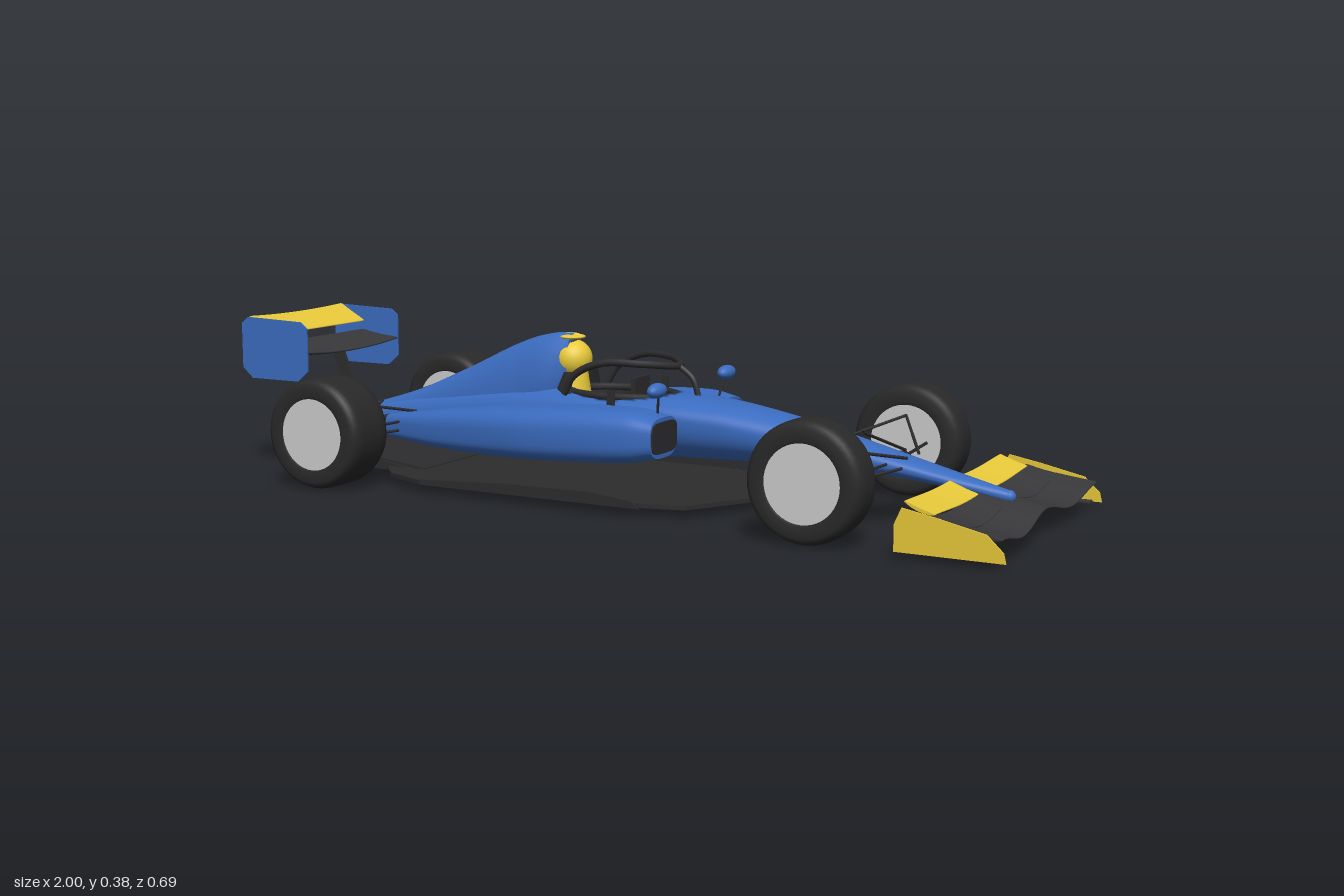
import * as THREE from 'three';

const mat = (color) => new THREE.MeshStandardMaterial({ color, side: THREE.DoubleSide });
const blue = mat(0x3b6cc0), yellow = mat(0xe8c93a), dark = mat(0x2c2c2e), wingDark = mat(0x38383b);
const rubber = mat(0x292929), grey = mat(0xcccccc), red = mat(0xc03040);
const V = (x, y, z) => new THREE.Vector3(x, y, z);

export function createModel() {
  const car = new THREE.Group();
  car.name = 'racingCar';
  const add = (name, geo, m, x = 0, y = 0, z = 0) => {
    const mesh = new THREE.Mesh(geo, m);
    mesh.name = name;
    mesh.position.set(x, y, z);
    car.add(mesh);
    return mesh;
  };
  const box = (name, w, h, d, m, x, y, z) => add(name, new THREE.BoxGeometry(w, h, d), m, x, y, z);
  const both = (fn) => [1, -1].forEach(fn);

  // Surface over rows (i) and a closed ring (j), optionally capped at both ends
  const skin = (fn, rows, ring, caps) => {
    const pos = [], idx = [];
    for (let i = 0; i <= rows; i++)
      for (let j = 0; j < ring; j++) pos.push(...fn(i / rows, (j / ring) * Math.PI * 2));
    for (let i = 0; i < rows; i++)
      for (let j = 0; j < ring; j++) {
        const k = (j + 1) % ring, a = i * ring, b = a + ring;
        idx.push(a + j, b + j, a + k, b + j, b + k, a + k);
      }
    if (caps) [0, rows].forEach((i) => {
      const start = pos.length / 3, c = [0, 0, 0];
      for (let j = 0; j < ring; j++) {
        const p = pos.slice((i * ring + j) * 3, (i * ring + j) * 3 + 3);
        p.forEach((v, n) => { c[n] += v / ring; });
        pos.push(...p);
      }
      pos.push(...c);
      for (let j = 0; j < ring; j++) {
        const p = start + j, q = start + (j + 1) % ring;
        idx.push(start + ring, ...(i ? [q, p] : [p, q]));
      }
    });
    const g = new THREE.BufferGeometry();
    g.setAttribute('position', new THREE.Float32BufferAttribute(pos, 3));
    g.setIndex(idx);
    g.computeVertexNormals();
    return g;
  };

  // Body loft: sections are [x, zCentre, halfWidth, yBottom, yWidest, yTop], tail first
  const loft = (secs, { power = 1, side = 1, rows = 48, ring = 40, rule } = {}) => {
    const a = new THREE.CatmullRomCurve3(secs.map((s) => V(s[0], s[1], s[2])), false, 'centripetal');
    const b = new THREE.CatmullRomCurve3(secs.map((s) => V(s[3], s[4], s[5])), false, 'centripetal');
    const pw = (v) => Math.sign(v) * Math.abs(v) ** power;
    return skin((u, t) => {
      const p = a.getPoint(u), q = b.getPoint(u), s = pw(Math.sin(t));
      const z = side * p.y + p.z * pw(Math.cos(t));
      const y = q.y + s * (s > 0 ? q.z - q.y : q.y - q.x);
      return [p.x, rule ? rule(p.x, y, z) : y, z];
    }, rows, ring, true);
  };

  // Wing element: at(z) gives [xLead, yLead, xTrail, yTrail]
  const wing = (z0, z1, at, thick, camber) => skin((u, t) => {
    const z = z0 + (z1 - z0) * u, [xl, yl, xt, yt] = at(z), c = (1 - Math.cos(t)) / 2;
    return [xl + (xt - xl) * c, yl + (yt - yl) * c - camber * 4 * c * (1 - c) + thick * Math.sin(t), z];
  }, 24, 20, true);

  // Flat plate in the x-y plane, from corner points
  const plate = (pts, d) => new THREE.ExtrudeGeometry(
    new THREE.Shape(pts.map((p) => new THREE.Vector2(...p))), { depth: d, bevelEnabled: false }).translate(0, 0, -d / 2);
  const tube = (name, pts, r, m = dark) => add(name, new THREE.TubeGeometry(
    pts.length > 2 ? new THREE.CatmullRomCurve3(pts) : new THREE.LineCurve3(...pts), pts.length > 2 ? 48 : 1, r, 8), m);

  // Main hull from tail to nose tip, with the cockpit sunk into it
  const inCockpit = (x, z) => ((x + 0.03) / 0.135) ** 2 + (z / 0.08) ** 2 < 1;
  add('hull', loft([
    [-0.82, 0, 0.015, 0.1, 0.115, 0.13], [-0.6, 0, 0.045, 0.085, 0.13, 0.185],
    [-0.3, 0, 0.08, 0.085, 0.17, 0.235], [-0.1, 0, 0.105, 0.09, 0.19, 0.242],
    [0.1, 0, 0.106, 0.095, 0.195, 0.242], [0.25, 0, 0.092, 0.1, 0.185, 0.232],
    [0.45, 0, 0.071, 0.104, 0.155, 0.198], [0.65, 0, 0.05, 0.098, 0.125, 0.148],
    [0.8, 0, 0.031, 0.08, 0.096, 0.112], [0.895, 0, 0.014, 0.064, 0.077, 0.09],
  ], { power: 0.9, rows: 130, ring: 64, rule: (x, y, z) => (y > 0.17 && inCockpit(x, z) ? 0.14 : y) }), blue);
  add('noseTip', new THREE.SphereGeometry(0.014, 20, 12), blue, 0.895, 0.077, 0);

  // Cockpit lining, rim, headrest, steering wheel and driver's helmet
  add('cockpitLining', new THREE.CylinderGeometry(0.074, 0.074, 0.085, 40, 1, true).scale(1.72, 1, 1), dark, -0.03, 0.19, 0);
  add('cockpitFloor', new THREE.CylinderGeometry(0.075, 0.075, 0.006, 40).scale(1.72, 1, 1), dark, -0.03, 0.148, 0);
  add('cockpitRim', new THREE.TorusGeometry(0.078, 0.009, 8, 48).rotateX(Math.PI / 2).scale(1.72, 1, 1), dark, -0.03, 0.232, 0);
  add('headrest', new THREE.CylinderGeometry(0.055, 0.072, 0.05, 32, 1, false, Math.PI, Math.PI), dark, -0.13, 0.25, 0);
  box('steeringWheel', 0.012, 0.045, 0.07, dark, 0.015, 0.25, 0);
  add('helmet', new THREE.SphereGeometry(0.046, 32, 20), yellow, -0.165, 0.302, 0);
  add('driverNeck', new THREE.CylinderGeometry(0.035, 0.05, 0.1, 24), yellow, -0.165, 0.225, 0);

  // Engine cover with air intake and camera pod
  add('engineCover', loft([
    [-0.82, 0, 0.012, 0.1, 0.115, 0.132], [-0.6, 0, 0.03, 0.1, 0.15, 0.2],
    [-0.45, 0, 0.045, 0.1, 0.18, 0.265], [-0.3, 0, 0.057, 0.12, 0.21, 0.335],
    [-0.22, 0, 0.058, 0.15, 0.25, 0.359], [-0.16, 0, 0.042, 0.2, 0.29, 0.364],
  ]), blue);
  add('airIntake', new THREE.SphereGeometry(1, 24, 16).scale(0.012, 0.066, 0.036), dark, -0.158, 0.288, 0);
  add('cameraPod', new THREE.SphereGeometry(1, 20, 12).scale(0.03, 0.006, 0.032), yellow, -0.165, 0.354, 0);
  add('cameraNose', new THREE.SphereGeometry(0.009, 16, 12).scale(3.4, 1, 1), yellow, -0.168, 0.355, 0);

  // Halo: hoop and central pillar
  tube('haloHoop', [V(-0.13, 0.235, 0.1), V(-0.1, 0.28, 0.104), V(-0.03, 0.311, 0.1), V(0.06, 0.311, 0.072), V(0.115, 0.303, 0),
    V(0.06, 0.311, -0.072), V(-0.03, 0.311, -0.1), V(-0.1, 0.28, -0.104), V(-0.13, 0.235, -0.1)], 0.0085);
  tube('haloPillar', [V(0.115, 0.303, 0), V(0.15, 0.275, 0), V(0.165, 0.232, 0)], 0.007);

  // Floor, diffuser and rear crash structure
  const half = [[0.33, 0.06], [0.24, 0.21], [0.14, 0.235], [-0.43, 0.25], [-0.55, 0.2], [-0.62, 0.12], [-0.79, 0.09]];
  const outline = [...half, ...half.map(([x, z]) => [x, -z]).reverse()];
  add('floor', plate(outline, 0.01).rotateX(Math.PI / 2), dark, 0, 0.024, 0);
  [-0.13, -0.065, 0, 0.065, 0.13].forEach((z) =>
    add('diffuserStrake', plate([[-0.5, 0.02], [-0.79, 0.018], [-0.79, 0.066], [-0.74, 0.062]], 0.005), dark, 0, 0, z));
  add('diffuserRoof', plate([[-0.5, 0.025], [-0.79, 0.064], [-0.79, 0.068], [-0.5, 0.031]], 0.26), dark);
  add('crashStructure', plate([[-0.72, 0.085], [-0.95, 0.09], [-0.95, 0.112], [-0.72, 0.14]], 0.03), dark);
  box('rearLight', 0.008, 0.016, 0.02, red, -0.952, 0.101, 0);

  // Rear wing
  add('rearFlap', wing(-0.182, 0.182, (z) => [-0.905, 0.335, -0.98, 0.372 + 0.15 * z * z], 0.005, 0.004), yellow);
  add('rearMainPlane', wing(-0.182, 0.182, (z) => [-0.8, 0.286 + 0.3 * z * z, -0.915, 0.312], 0.007, 0.007), wingDark);
  add('rearWingPylon', plate([[-0.77, 0.12], [-0.8, 0.12], [-0.87, 0.295], [-0.84, 0.295]], 0.012), dark);

  // Front wing main plane and second element, dipping between nose and tips
  const dip = (z) => 0.012 * Math.cos(Math.abs(z) / 0.335 * Math.PI * 2);
  add('frontMainPlane', wing(-0.335, 0.335, (z) => [0.975 + 0.015 * Math.abs(z) / 0.335, 0.047 + dip(z), 0.885, 0.06 + dip(z)], 0.004, 0.003), wingDark);
  add('frontSecondElement', wing(-0.335, 0.335, (z) => [0.9, 0.06 + dip(z) * 0.8, 0.825, 0.078 + dip(z) * 0.6], 0.004, 0.004), wingDark);

  both((s) => {
    // Wing end plates and front flaps
    add('rearEndPlate', plate([[-0.97, 0.225], [-0.83, 0.225], [-0.8, 0.25], [-0.8, 0.355], [-0.82, 0.37],
      [-0.98, 0.375], [-1, 0.36], [-1, 0.25]], 0.004), blue, 0, 0, s * 0.185);
    add('frontEndPlate', plate([[0.77, 0.014], [1, 0.014], [0.995, 0.035], [0.96, 0.068], [0.86, 0.09], [0.785, 0.104], [0.77, 0.07]], 0.004),
      yellow, 0, 0, s * 0.338);
    box('frontFootPlate', 0.2, 0.004, 0.025, wingDark, 0.88, 0.016, s * 0.325);
    const flap = (z) => [0.84, 0.084 - 0.004 * Math.sin(Math.abs(z) * 14), 0.775, 0.107 - 0.003 * Math.sin(Math.abs(z) * 14)];
    add('frontFlap', wing(s > 0 ? 0.035 : -0.3, s > 0 ? 0.3 : -0.035, flap, 0.004, 0.004), yellow);

    // Sidepod with dark inlet
    add('sidepod', loft([
      [-0.66, 0.045, 0.022, 0.085, 0.11, 0.14], [-0.45, 0.088, 0.056, 0.08, 0.12, 0.175],
      [-0.2, 0.14, 0.082, 0.088, 0.145, 0.207], [0, 0.162, 0.082, 0.1, 0.16, 0.223],
      [0.1, 0.168, 0.074, 0.108, 0.168, 0.224], [0.165, 0.168, 0.063, 0.122, 0.17, 0.212],
    ], { side: s, power: 0.65 }), blue);
    add('sidepodInlet', loft([[0.15, 0.168, 0.058, 0.133, 0.17, 0.203], [0.168, 0.168, 0.058, 0.133, 0.17, 0.203]],
      { side: s, power: 0.45, rows: 1 }), dark);

    // Floor edge, mirror and small fin
    add('floorEdge', plate([[-0.43, 0.02], [0.15, 0.02], [0.13, 0.036], [0.02, 0.047], [-0.2, 0.044], [-0.43, 0.032]], 0.004), dark, 0, 0, s * 0.252);
    add('mirror', new THREE.SphereGeometry(1, 24, 16).scale(0.018, 0.017, 0.033), blue, 0.15, 0.27, s * 0.172);
    tube('mirrorStalk', [V(0.15, 0.265, s * 0.165), V(0.14, 0.21, s * 0.15)], 0.003);
    box('sidepodFin', 0.02, 0.045, 0.003, dark, 0.01, 0.235, s * 0.13);

    // Wheels
    [['frontWheel', 0.57, 0.292, 0.05], ['rearWheel', -0.67, 0.278, 0.067]].forEach(([name, x, z, h]) => {
      const prof = [[0.08, -h + 0.006], [0.088, -h], [0.113, -h], [0.123, -h + 0.006], [0.129, -h + 0.02], [0.13, -h + 0.035]];
      const pts = [...prof, ...prof.map(([r, y]) => [r, -y]).reverse()].map((p) => new THREE.Vector2(...p));
      add(name + 'Tyre', new THREE.LatheGeometry(pts, 48).rotateX(Math.PI / 2), rubber, x, 0.13, s * z);
      add(name + 'Rim', new THREE.CylinderGeometry(0.087, 0.087, 2 * h - 0.006, 40).rotateX(Math.PI / 2), grey, x, 0.13, s * z);
    });

    // Suspension: wishbones, pushrods and driveshaft
    const arm = (name, ...c) => tube(name, [V(c[0], c[1], s * c[2]), V(c[3], c[4], s * c[5])], 0.0035);
    [[0.46, 0.68]].concat([[-0.58, -0.74]]).forEach(([xa, xb], i) => {
      const x = i ? -0.67 : 0.57, z = i ? 0.22 : 0.245, n = i ? 'rear' : 'front';
      [xa, xb].forEach((xi) => {
        arm(n + 'UpperArm', x, 0.19, z, xi, i ? 0.15 : 0.145, 0.035);
        arm(n + 'LowerArm', x, 0.105, z, xi, i ? 0.11 : 0.125, 0.03);
      });
      arm(n + 'Pushrod', x, 0.11, z, x - 0.02, i ? 0.17 : 0.18, 0.035);
      arm(n + 'TrackRod', x + 0.05, 0.13, z, x + 0.07, 0.13, 0.03);
    });
    tube('driveshaft', [V(-0.67, 0.13, s * 0.22), V(-0.67, 0.13, 0)], 0.008);
  });
  return car;
}
